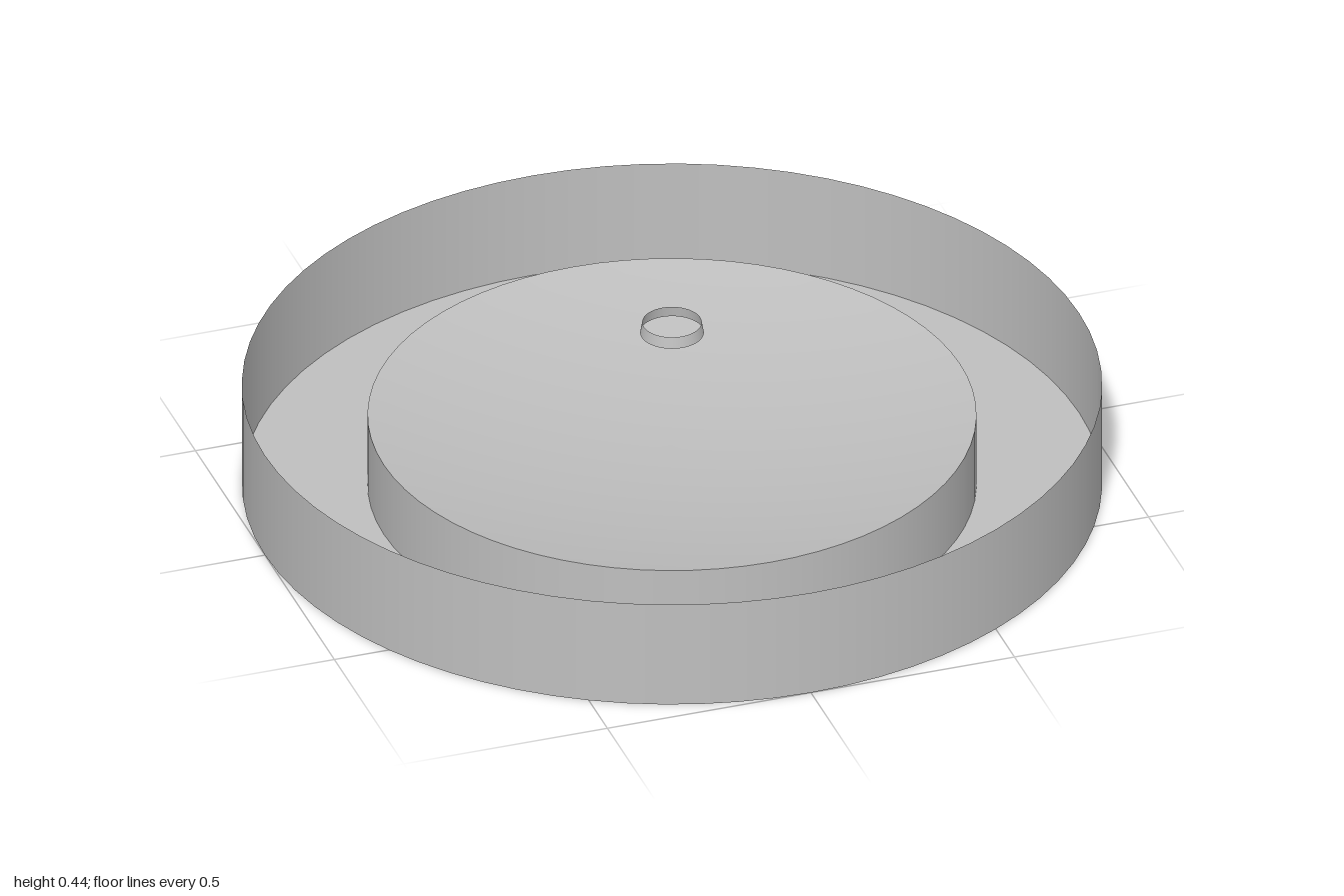
import * as THREE from 'three';

export function createModel() {
  const model = new THREE.Group();
  const grey = new THREE.MeshStandardMaterial({ color: 0xbfbfbf, side: THREE.DoubleSide });
  grey.name = 'grey';
  const SIDES = 72;

  const add = (name, geometry, y = 0) => {
    const mesh = new THREE.Mesh(geometry, grey);
    mesh.name = name;
    mesh.position.y = y;
    model.add(mesh);
  };

  // Thin open wall standing from y0 to y1
  const wall = (name, rTop, rBottom, y0, y1) =>
    add(name, new THREE.CylinderGeometry(rTop, rBottom, y1 - y0, SIDES, 1, true), (y0 + y1) / 2);

  const rim = 0.708, rimHeight = 0.188, depth = 0.075;

  wall('outerWall', 1, 1, 0, 0.27);
  wall('innerWall', rim, rim, 0, rimHeight);

  // Flat ring floor between the two walls
  add('floor', new THREE.RingGeometry(rim, 1, SIDES).rotateX(-Math.PI / 2));

  // Shallow parabolic dish set on the inner wall
  const profile = [];
  for (let i = 0; i <= 16; i++) {
    const t = i / 16;
    profile.push(new THREE.Vector2(rim * t, rimHeight - depth * (1 - t * t)));
  }
  add('dish', new THREE.LatheGeometry(profile, SIDES));

  // Small open ring floating above the dish
  wall('floatingRing', 0.069, 0.074, 0.41, 0.438);

  return model;
}
